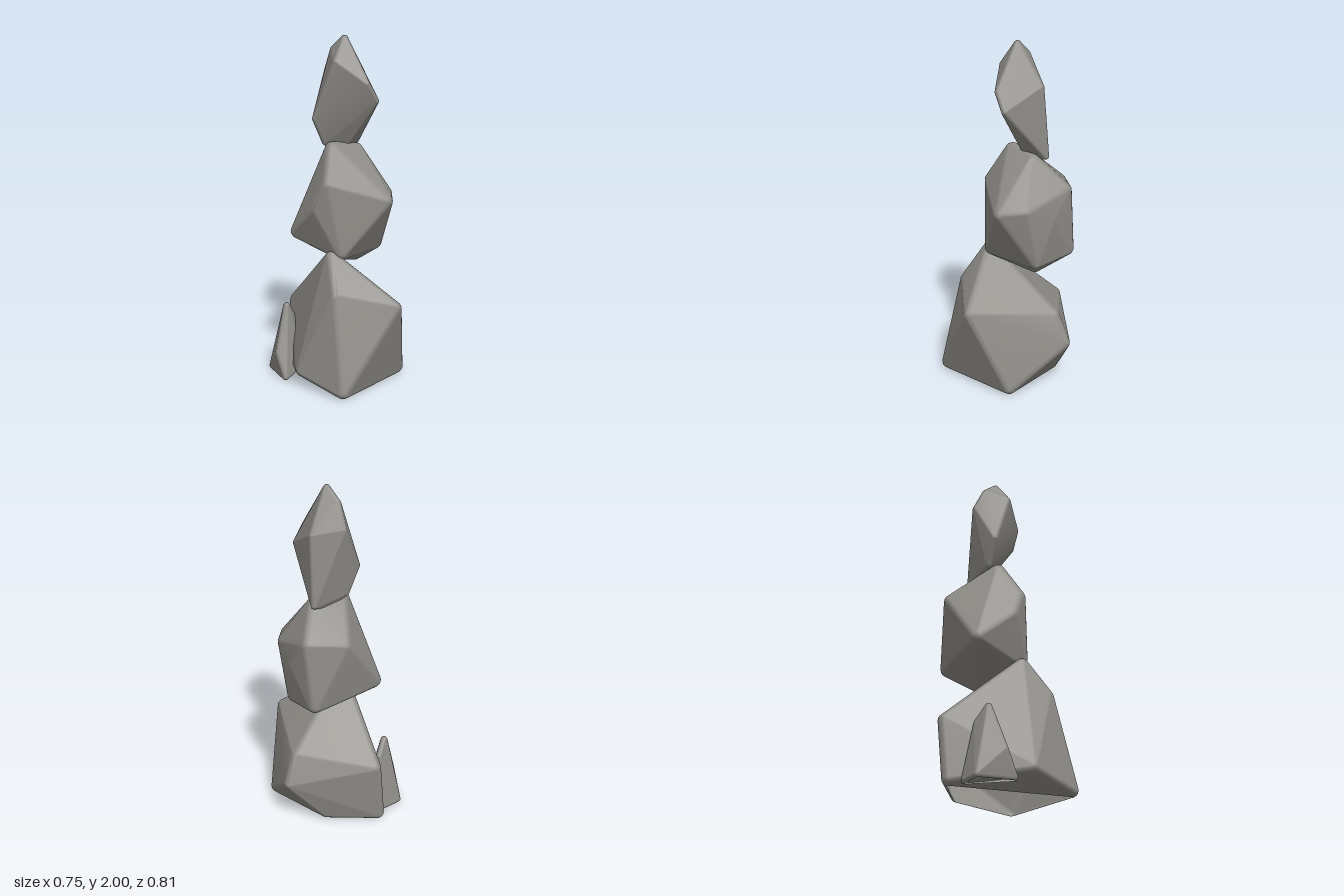
import * as THREE from 'three';
import { ConvexGeometry } from 'three/addons/geometries/ConvexGeometry.js';
import { mergeVertices } from 'three/addons/utils/BufferGeometryUtils.js';

const stone = new THREE.MeshStandardMaterial({ color: 0x8e8c87, side: THREE.DoubleSide });
stone.name = 'stone grey';

// Convex boulder: a small ball sits inside every corner and the hull wraps them all
function boulder(name, radius, corners) {
  const points = corners.map((c) => new THREE.Vector3(...c));
  const centre = new THREE.Vector3();
  points.forEach((p) => centre.addScaledVector(p, 1 / points.length));

  const ball = new THREE.IcosahedronGeometry(radius, 2).deleteAttribute('normal').deleteAttribute('uv');
  const ballPos = mergeVertices(ball).getAttribute('position');
  const cloud = [];
  for (const p of points) {
    const inset = centre.clone().sub(p).setLength(radius * 1.2).add(p);
    inset.y = Math.max(inset.y, radius); // keep the foot level with the ground
    for (let i = 0; i < ballPos.count; i++) {
      cloud.push(new THREE.Vector3().fromBufferAttribute(ballPos, i).add(inset));
    }
  }

  // Shared vertices give flat facets with softly shaded edges
  const hull = new ConvexGeometry(cloud);
  hull.deleteAttribute('normal');
  const geometry = mergeVertices(hull, 1e-5);
  geometry.computeVertexNormals();

  // Rocks standing on the ground are hollow underneath
  const y = geometry.getAttribute('position');
  const index = geometry.getIndex().array;
  const kept = [];
  for (let i = 0; i < index.length; i += 3) {
    const face = [index[i], index[i + 1], index[i + 2]];
    if (face.some((v) => y.getY(v) > 0.004)) kept.push(...face);
  }
  geometry.setIndex(kept);

  const mesh = new THREE.Mesh(geometry, stone);
  mesh.name = name;
  return mesh;
}

export function createModel() {
  const group = new THREE.Group();
  group.name = 'stackedRocks';

  group.add(
    // Large base rock
    boulder('baseRock', 0.04, [
      [-0.15, 0.8, 0.08], [-0.22, 0.6, 0.22], [0.1, 0.51, 0.41],
      [0.31, 0.45, -0.1], [0.38, 0.27, -0.13], [0.27, 0, 0.23],
      [-0.26, 0, 0.345], [-0.36, 0.08, 0.04], [-0.09, 0.38, -0.41],
      [0.15, 0, -0.21], [-0.13, 0, -0.39],
    ]),
    // Small shard leaning on the back of the base
    boulder('sideShard', 0.02, [
      [-0.265, 0.44, -0.2], [-0.2, 0.36, -0.24], [-0.38, 0.16, -0.14],
      [-0.36, 0, -0.08], [-0.32, 0, -0.3], [-0.18, 0, -0.31], [-0.2, 0.05, -0.12],
    ]),
    // Middle rock
    boulder('middleRock', 0.045, [
      [-0.07, 1.41, -0.03], [0.13, 1.385, -0.04], [0.28, 1.2, -0.2],
      [0.31, 1.02, -0.07], [0.275, 1.1, 0.12], [0.17, 1.08, 0.245],
      [0.25, 0.73, 0.02], [0.14, 0.655, -0.06], [0.25, 0.77, -0.24],
      [-0.11, 0.745, 0.115], [-0.225, 1.03, 0.0], [-0.18, 1.2, 0.07],
      [0.07, 1.19, -0.315], [-0.205, 0.83, -0.24],
    ]),
    // Slender top rock
    boulder('topRock', 0.02, [
      [0.02, 2.007, -0.01], [-0.075, 1.88, 0.03], [0, 1.94, -0.095],
      [0, 1.8, -0.17], [0.17, 1.77, -0.08], [0.06, 1.75, 0.165],
      [0.13, 1.64, 0.165], [-0.14, 1.52, -0.1], [0.17, 1.34, -0.11],
      [0.04, 1.31, -0.08], [-0.06, 1.37, -0.1],
    ]),
  );
  return group;
}
